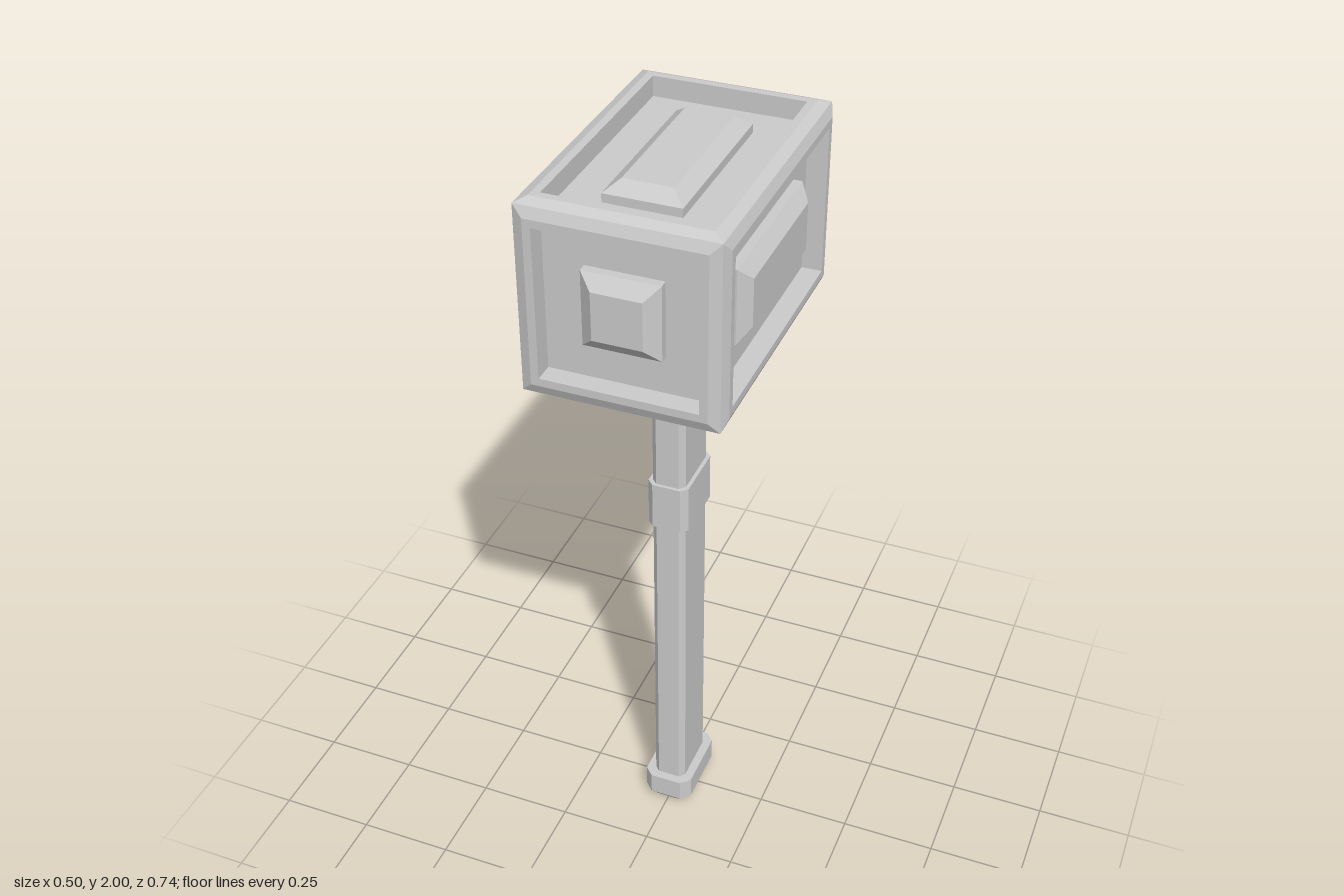
import * as THREE from 'three';

const material = new THREE.MeshStandardMaterial({ color: 0xcccccc, flatShading: true });

// Rectangle (optionally with cut corners), counter-clockwise, at height w
function outline([hu, hv, w], cut) {
  const points = [];
  for (const [su, sv] of [[1, -1], [1, 1], [-1, 1], [-1, -1]]) {
    if (!cut) { points.push([su * hu, sv * hv, w]); continue; }
    const alongU = [su * (hu - cut), sv * hv, w];
    const alongV = [su * hu, sv * (hv - cut), w];
    points.push(...(su * sv < 0 ? [alongU, alongV] : [alongV, alongU]));
  }
  return points;
}

// Joins rectangular sections [halfU, halfV, w] along local z, with flat faces
function loft(sections, { cut = 0, startCap = true } = {}) {
  const loops = sections.map((s) => outline(s, cut));
  const n = loops[0].length;
  const pos = [];
  const tri = (a, b, c) => pos.push(...a, ...b, ...c);
  for (let k = 0; k < loops.length - 1; k++) {
    const a = loops[k], b = loops[k + 1];
    for (let i = 0; i < n; i++) {
      const j = (i + 1) % n;
      tri(a[i], a[j], b[j]);
      tri(a[i], b[j], b[i]);
    }
  }
  const first = loops[0], last = loops[loops.length - 1];
  for (let i = 1; i < n - 1; i++) {
    tri(last[0], last[i], last[i + 1]);
    if (startCap) tri(first[0], first[i + 1], first[i]);
  }
  const geometry = new THREE.BufferGeometry();
  geometry.setAttribute('position', new THREE.Float32BufferAttribute(pos, 3));
  geometry.computeVertexNormals();
  return geometry;
}

function addMesh(parent, name, geometry) {
  const mesh = new THREE.Mesh(geometry, material);
  mesh.name = name;
  parent.add(mesh);
  return mesh;
}

// Upright part: sections are [halfX, halfZ, y]
function addUpright(parent, name, sections, cut) {
  return addMesh(parent, name, loft(sections, { cut }).rotateX(-Math.PI / 2));
}

// Head: six bevelled frames, each with a sunken panel and a raised stud
function createHead() {
  const head = new THREE.Group();
  head.name = 'head';
  head.position.y = 1.7525;
  const X = 0.25, Y = 0.2475, Z = 0.372, depth = 0.052;
  const q = Math.PI / 2;
  const sides = [
    ['front', X, Y, Z, 0.095, 0.095, 0, 0],
    ['back', X, Y, Z, 0.095, 0.095, 0, Math.PI],
    ['left', Z, Y, X, 0.219, 0.095, 0, q],
    ['right', Z, Y, X, 0.219, 0.095, 0, -q],
    ['top', X, Z, Y, 0.095, 0.219, -q, 0],
    ['bottom', X, Z, Y, 0.095, 0.219, q, 0],
  ];
  for (const [name, hu, hv, w, su, sv, rx, ry] of sides) {
    const panel = loft([
      [hu - 0.011, hv - 0.011, w - 0.011],
      [hu - 0.037, hv - 0.037, w],
      [hu - 0.057, hv - 0.057, w],
      [hu - 0.057, hv - 0.057, w - depth],
    ], { startCap: false });
    const stud = loft([
      [su, sv, w - depth],
      [su, sv, w - depth + 0.022],
      [su - 0.034, sv - 0.034, w - 0.003],
    ], { startCap: false });
    addMesh(head, name + 'Panel', panel).rotation.set(rx, ry, 0);
    addMesh(head, name + 'Stud', stud).rotation.set(rx, ry, 0);
  }
  return head;
}

// Neck: core block flaring from the handle, with pierced plates on both sides
function createNeck() {
  const neck = new THREE.Group();
  neck.name = 'neck';
  addUpright(neck, 'neckFlare', [[0.045, 0.08, 1.35], [0.06, 0.183, 1.392]]);
  addUpright(neck, 'neckCore', [[0.05, 0.183, 1.392], [0.05, 0.183, 1.53]]);

  const shape = new THREE.Shape([[-0.183, 1.392], [0.183, 1.392], [0.183, 1.53], [-0.183, 1.53]]
    .map(([u, v]) => new THREE.Vector2(u, v)));
  for (const shift of [-0.09, 0.09]) {
    const corners = [[-0.087, 1.41], [-0.053, 1.486], [0.087, 1.486], [0.053, 1.41]];
    shape.holes.push(new THREE.Path(corners.map(([u, v]) => new THREE.Vector2(u + shift, v))));
  }
  for (const side of [1, -1]) {
    const plate = new THREE.ExtrudeGeometry(shape, { depth: 0.01, bevelEnabled: false });
    plate.translate(0, 0, 0.05);
    addMesh(neck, side > 0 ? 'leftNeckPlate' : 'rightNeckPlate', plate).rotation.y = side * Math.PI / 2;
  }
  return neck;
}

export function createModel() {
  const model = new THREE.Group();
  model.name = 'warHammer';
  model.add(createHead(), createNeck());
  addUpright(model, 'handle', [[0.044, 0.083, 0.06], [0.044, 0.083, 1.36]], 0.014);
  addUpright(model, 'gripBand', [[0.054, 0.092, 0.98], [0.054, 0.092, 1.11]], 0.017);
  addUpright(model, 'pommel', [[0.045, 0.085, 0], [0.067, 0.107, 0.028], [0.067, 0.107, 0.09]], 0.024);
  return model;
}
